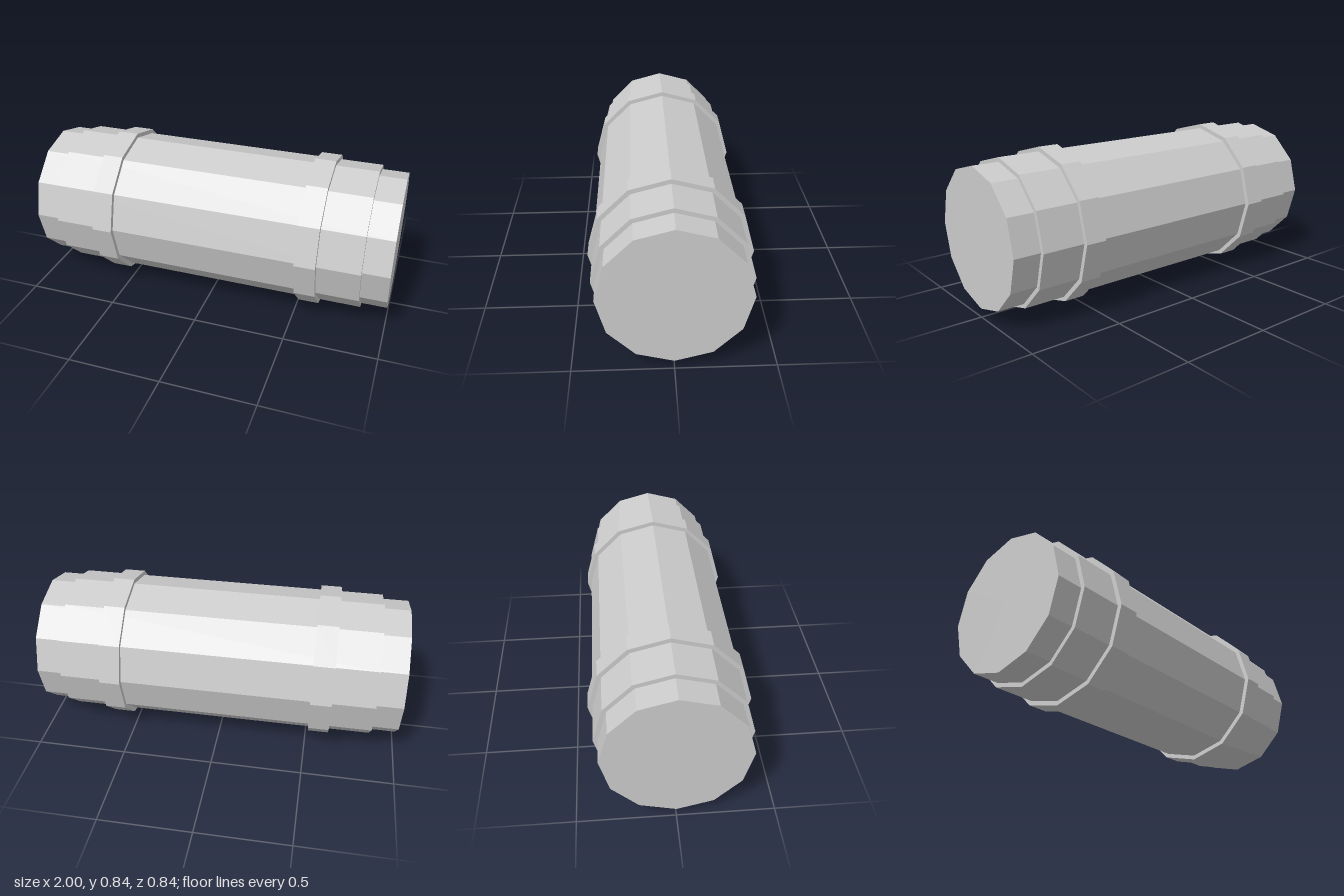
import * as THREE from 'three';

const RADIUS = 0.418; // outer radius of the bands, also the axis height

export function createModel() {
  const group = new THREE.Group();
  group.name = 'barrel';
  const grey = new THREE.MeshStandardMaterial({ color: 0xcccccc, flatShading: true });
  grey.name = 'light grey';

  // Twelve-sided drum lying along x, from x0 to x1
  function drum(name, radius, x0, x1) {
    const geometry = new THREE.CylinderGeometry(radius, radius, x1 - x0, 12);
    geometry.rotateZ(-Math.PI / 2);
    const mesh = new THREE.Mesh(geometry, grey);
    mesh.name = name;
    mesh.position.set((x0 + x1) / 2, RADIUS, 0);
    group.add(mesh);
  }

  // Narrow core whose ends show as the end caps
  drum('core', 0.371, -1, 1);
  // Main body
  drum('body', 0.394, -0.857, 0.857);
  // Raised bands
  drum('rightBand', RADIUS, -0.628, -0.515);
  drum('leftBand', RADIUS, 0.515, 0.628);

  return group;
}
